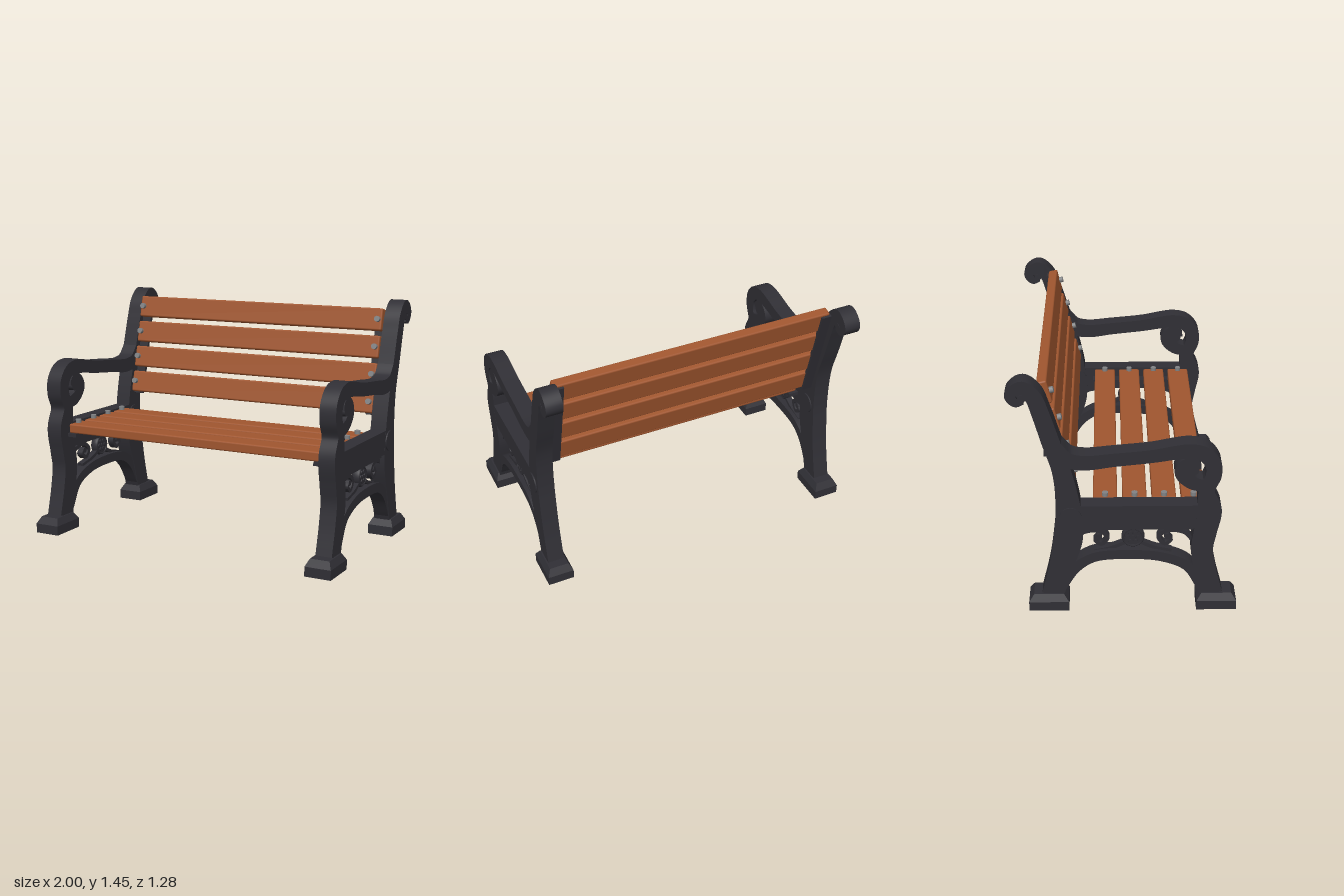
import * as THREE from 'three';
import { toCreasedNormals } from 'three/addons/utils/BufferGeometryUtils.js';
import { RoundedBoxGeometry } from 'three/addons/geometries/RoundedBoxGeometry.js';

const iron = new THREE.MeshStandardMaterial({ name: 'dark iron', color: 0x302f35 });
const wood = new THREE.MeshStandardMaterial({ name: 'brown wood', color: 0xa0562f });
const steel = new THREE.MeshStandardMaterial({ name: 'grey steel', color: 0x808284 });

function add(parent, name, geometry, material, x = 0, y = 0, z = 0) {
  const mesh = new THREE.Mesh(geometry, material);
  mesh.name = name;
  mesh.position.set(x, y, z);
  parent.add(mesh);
  return mesh;
}

// Flat bar following a smooth path of [z, y, width], extruded across x
function ribbon(points, depth) {
  const path = new THREE.CatmullRomCurve3(points.map((p) => new THREE.Vector3(...p)));
  const n = points.length * 7;
  const left = [], right = [];
  for (let i = 0; i <= n; i++) {
    const p = path.getPoint(i / n);
    const t = path.getTangent(i / n);
    const k = p.z / 2 / Math.hypot(t.x, t.y);
    left.push(new THREE.Vector2(p.x - t.y * k, p.y + t.x * k));
    right.unshift(new THREE.Vector2(p.x + t.y * k, p.y - t.x * k));
  }
  const shape = new THREE.Shape([...left, ...right]);
  const geometry = new THREE.ExtrudeGeometry(shape, { depth, bevelEnabled: false });
  geometry.translate(0, 0, -depth / 2).rotateY(-Math.PI / 2);
  return toCreasedNormals(geometry, 0.6);
}

// Round disc with its axis along x
function disc(radius, depth, sides = 28) {
  return new THREE.CylinderGeometry(radius, radius, depth, sides).rotateZ(Math.PI / 2);
}

// Foot block with a sloping shoulder
function footGeometry() {
  const geometry = new THREE.BoxGeometry(0.16, 0.1, 0.23, 1, 2, 1);
  const p = geometry.attributes.position;
  for (let i = 0; i < p.count; i++) {
    if (p.getY(i) > 0.04) {
      p.setX(i, p.getX(i) * 0.74);
      p.setZ(i, p.getZ(i) * 0.75);
    } else if (p.getY(i) > -0.04) p.setY(i, 0.008);
  }
  const flat = geometry.toNonIndexed();
  flat.computeVertexNormals();
  return flat;
}

const FRONT = [
  [0.5, 0.09, 0.13], [0.46, 0.26, 0.125], [0.44, 0.4, 0.125], [0.455, 0.51, 0.13],
  [0.475, 0.65, 0.135], [0.455, 0.775, 0.09], [0.49, 0.87, 0.088], [0.485, 0.945, 0.09],
  [0.435, 1.005, 0.09], [0.36, 1.023, 0.09], [0.275, 1.015, 0.085], [0.16, 0.995, 0.08],
  [-0.055, 0.972, 0.082], [-0.225, 0.955, 0.09], [-0.31, 0.975, 0.09], [-0.37, 1.06, 0.06]];
const REAR = [
  [-0.41, 0.09, 0.125], [-0.36, 0.28, 0.135], [-0.315, 0.475, 0.165], [-0.312, 0.665, 0.14],
  [-0.342, 0.895, 0.105], [-0.4, 1.09, 0.1], [-0.45, 1.26, 0.095], [-0.485, 1.355, 0.09],
  [-0.545, 1.408, 0.08], [-0.605, 1.365, 0.065], [-0.58, 1.32, 0.045], [-0.54, 1.33, 0.035]];
const ARM_SCROLL = [
  [0.47, 0.8, 0.07], [0.37, 0.828, 0.08], [0.315, 0.893, 0.08],
  [0.35, 0.953, 0.06], [0.4, 0.945, 0.035], [0.408, 0.91, 0.03]];
const ARCH = [
  [0.44, 0.135, 0.05], [0.36, 0.275, 0.06], [0.215, 0.34, 0.06], [0.015, 0.358, 0.06],
  [-0.17, 0.34, 0.06], [-0.275, 0.27, 0.06], [-0.36, 0.13, 0.05]];
// Ornament paths, measured from the medallion centre line
const VOLUTE = [
  [0.35, 0.41, 0.02], [0.295, 0.485, 0.025], [0.195, 0.502, 0.025], [0.145, 0.458, 0.025],
  [0.18, 0.413, 0.023], [0.215, 0.44, 0.02], [0.2, 0.462, 0.018]];
const VINE = [[0.22, 0.368, 0.018], [0.125, 0.388, 0.022], [0.04, 0.425, 0.02]];

const MID = 0.05;     // z of the medallion
const TILT = -0.236;  // lean of the backrest

// One cast side frame at x = s * 0.92
function sideFrame(s) {
  const frame = new THREE.Group();
  frame.name = s > 0 ? 'leftFrame' : 'rightFrame';
  const x = s * 0.92;
  add(frame, 'frontLegAndArm', ribbon(FRONT, 0.1), iron, x);
  add(frame, 'rearLegAndPost', ribbon(REAR, 0.1), iron, x);
  add(frame, 'armScroll', ribbon(ARM_SCROLL, 0.1), iron, x);
  add(frame, 'armScrollEye', disc(0.03, 0.1), iron, x, 0.905, 0.38);
  add(frame, 'postScrollEye', disc(0.022, 0.1), iron, x, 1.343, -0.548);
  add(frame, 'lowerArch', ribbon(ARCH, 0.09), iron, x);
  add(frame, 'seatRail', new THREE.BoxGeometry(0.098, 0.145, 0.74), iron, x, 0.6075, 0.1);
  add(frame, 'thinRail', new THREE.BoxGeometry(0.06, 0.016, 0.7), iron, x, 0.522, 0.08);
  add(frame, 'pivotHub', disc(0.062, 0.115, 36), iron, x, 0.61, -0.3);
  for (const z of [0.53, -0.4325]) add(frame, 'foot', footGeometry(), iron, x, 0.05, z);

  // Scrollwork under the seat
  for (const m of [1, -1]) {
    const place = (path) => path.map(([z, y, w]) => [MID + m * z, y, w]);
    add(frame, 'volute', ribbon(place(VOLUTE), 0.04), iron, x);
    add(frame, 'voluteEye', disc(0.018, 0.04, 16), iron, x, 0.46, MID + m * 0.193);
    add(frame, 'vine', ribbon(place(VINE), 0.04), iron, x);
  }
  // Medallion with a raised rim and a flower of seven beads
  add(frame, 'medallion', disc(0.06, 0.04), iron, x, 0.458, MID);
  add(frame, 'medallionRim', new THREE.TorusGeometry(0.056, 0.01, 8, 32).rotateY(Math.PI / 2)
    .scale(2.6, 1, 1), iron, x, 0.458, MID);
  for (let i = 0; i < 7; i++) {
    const r = i ? 0.03 : 0, a = i * Math.PI / 3;
    add(frame, 'bead', disc(0.013, 0.054, 10), iron, x, 0.458 + r * Math.sin(a), MID + r * Math.cos(a));
  }
  // Ledges that carry the slats
  add(frame, 'seatLedge', new THREE.BoxGeometry(0.07, 0.022, 0.66), iron, s * 0.843, 0.605, 0.14);
  const ledge = add(frame, 'backLedge', new THREE.BoxGeometry(0.07, 0.64, 0.022), iron, s * 0.843, 1.065, -0.4);
  ledge.rotation.x = TILT;
  return frame;
}

// Slat lying flat, with a bolt near each end
function slat(name) {
  const group = new THREE.Group();
  group.name = name;
  add(group, 'board', new RoundedBoxGeometry(1.73, 0.058, 0.137, 2, 0.01), wood);
  for (const s of [1, -1]) {
    add(group, 'bolt', new THREE.CylinderGeometry(0.018, 0.018, 0.03, 16), steel, s * 0.84, 0.036, 0);
  }
  return group;
}

export function createModel() {
  const bench = new THREE.Group();
  bench.name = 'bench';
  bench.add(sideFrame(1), sideFrame(-1));
  for (let i = 0; i < 4; i++) {
    const seat = slat('seatSlat');
    seat.position.set(0, 0.645, -0.107 + i * 0.1665);
    const back = slat('backSlat');
    back.position.set(0, 0.836 + i * 0.1645, -0.312 - i * 0.0395);
    back.rotation.x = Math.PI / 2 + TILT;
    bench.add(seat, back);
  }
  return bench;
}
